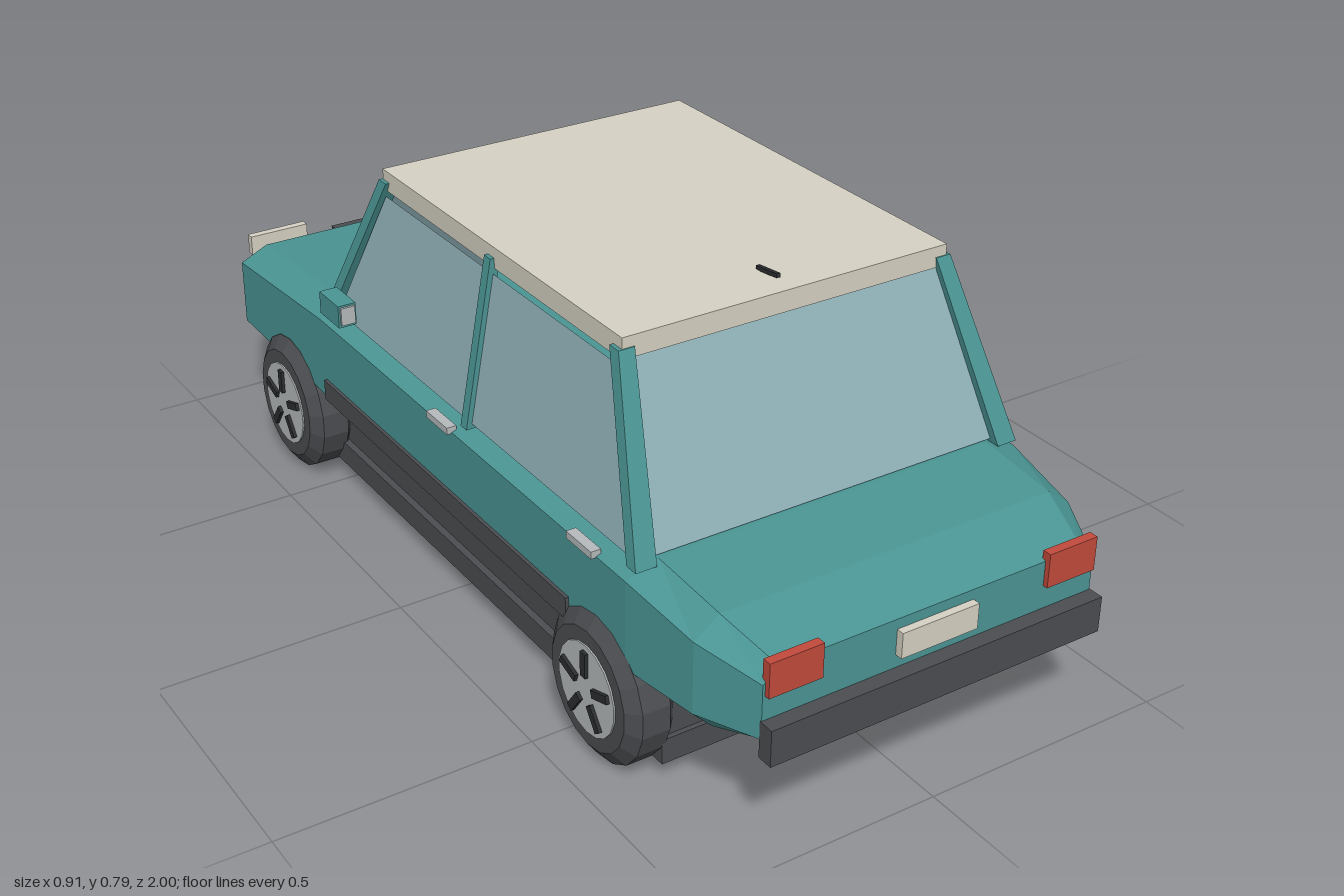
import * as THREE from 'three';

const mat = (name, color, extra = {}) => {
  const m = new THREE.MeshStandardMaterial({ color, ...extra });
  m.name = name;
  return m;
};

// Closed flat-sided solid through a list of rings of [x, y, z] points
function loft(rings) {
  const pos = [];
  const tri = (a, b, c) => pos.push(...a, ...b, ...c);
  const n = rings[0].length;
  for (let i = 0; i < rings.length - 1; i++) {
    for (let j = 0; j < n; j++) {
      const k = (j + 1) % n;
      const [a, b, c, d] = [rings[i][j], rings[i][k], rings[i + 1][k], rings[i + 1][j]];
      tri(a, b, c);
      tri(a, c, d);
    }
  }
  const first = rings[0], last = rings[rings.length - 1];
  for (let j = 1; j < n - 1; j++) {
    tri(first[0], first[j + 1], first[j]);
    tri(last[0], last[j], last[j + 1]);
  }
  return facets(pos);
}

function facets(pos) {
  const g = new THREE.BufferGeometry();
  g.setAttribute('position', new THREE.Float32BufferAttribute(pos, 3));
  g.computeVertexNormals();
  return g;
}

const quad = (a, b, c, d) => facets([...a, ...b, ...c, ...a, ...c, ...d]);

export function createModel() {
  const car = new THREE.Group();
  car.name = 'car';
  const teal = mat('teal paint', 0x4a9594);
  const cream = mat('cream', 0xd6d2c3);
  const glass = mat('glass', 0x8fb0b7, { side: THREE.DoubleSide });
  const rubber = mat('dark grey', 0x4b4d51);
  const black = mat('black', 0x2b2d30);
  const red = mat('red', 0xc24a3c);
  const silver = mat('silver', 0xb6babc);

  const add = (name, geometry, material, parent = car) => {
    const m = new THREE.Mesh(geometry, material);
    m.name = name;
    parent.add(m);
    return m;
  };
  // Box given by its limits on each axis
  const box = (name, material, [x0, x1], [y0, y1], [z0, z1], parent = car) => {
    const m = add(name, new THREE.BoxGeometry(x1 - x0, y1 - y0, z1 - z0), material, parent);
    m.position.set((x0 + x1) / 2, (y0 + y1) / 2, (z0 + z1) / 2);
    return m;
  };
  const span = (s, a, b) => (s > 0 ? [a, b] : [-b, -a]);

  // Body shell: z, bottom half width and y, side half width, lower and shoulder y, top half width and y
  const stations = [
    [-0.975, 0.31, 0.22, 0.35, 0.24, 0.33, 0.31, 0.352],
    [-0.87, 0.365, 0.19, 0.415, 0.235, 0.375, 0.355, 0.403],
    [-0.46, 0.37, 0.19, 0.42, 0.235, 0.408, 0.355, 0.432],
    [0.68, 0.37, 0.19, 0.42, 0.235, 0.408, 0.355, 0.432],
    [0.85, 0.36, 0.2, 0.40, 0.24, 0.38, 0.35, 0.417],
    [0.97, 0.31, 0.22, 0.35, 0.245, 0.35, 0.32, 0.377],
  ];
  add('body', loft(stations.map(([z, bw, by, w, ly, sy, tw, ty]) => [
    [bw, by, z], [w, ly, z], [w, sy, z], [tw, ty, z],
    [-tw, ty, z], [-w, sy, z], [-w, ly, z], [-bw, by, z],
  ])), teal);

  // Underbody
  box('chassis', rubber, [-0.355, 0.355], [0.08, 0.2], [-0.69, 0.71]);
  box('floorPan', rubber, [-0.37, 0.37], [0.04, 0.09], [-0.69, 0.72]);

  // Roof and aerial
  box('roof', cream, [-0.342, 0.342], [0.737, 0.778], [-0.30, 0.548]);
  box('aerial', black, [-0.004, 0.004], [0.78, 0.788], [0.45, 0.51]).rotation.x = -0.12;

  // Windscreens at both ends
  const yb = 0.435, yt = 0.738;
  add('rearWindow', quad([-0.37, yb, 0.675], [0.37, yb, 0.675], [0.322, yt, 0.545], [-0.322, yt, 0.545]), glass);
  add('windscreen', quad([0.37, yb, -0.445], [-0.37, yb, -0.445], [-0.322, yt, -0.298], [0.322, yt, -0.298]), glass);
  box('cowl', black, [-0.35, 0.35], [0.428, 0.438], [-0.465, -0.45]);

  // Slanted pillar between a foot and a head, each given by x and z limits
  const pillar = (name, s, foot, head) => {
    const ring = ([x0, x1, z0, z1], y) => {
      const [a, b] = span(s, x0, x1);
      return [[b, y, z1], [b, y, z0], [a, y, z0], [a, y, z1]];
    };
    add(name, loft([ring(foot, 0.428), ring(head, 0.757)]), teal);
  };

  for (const s of [1, -1]) {
    const side = s > 0 ? 'left' : 'right';
    pillar(side + 'RearPillar', s, [0.368, 0.41, 0.668, 0.696], [0.318, 0.35, 0.522, 0.55]);
    pillar(side + 'FrontPillar', s, [0.368, 0.41, -0.462, -0.434], [0.318, 0.35, -0.302, -0.274]);
    pillar(side + 'MiddlePillar', s, [0.385, 0.41, 0.107, 0.129], [0.33, 0.35, 0.107, 0.129]);
    add(side + 'SideGlass', quad(
      [s * 0.398, 0.438, 0.648], [s * 0.398, 0.438, -0.418],
      [s * 0.345, 0.727, -0.285], [s * 0.345, 0.727, 0.522]), glass);

    // Trim strip, door handles and mirror
    box(side + 'Trim', rubber, span(s, 0.41, 0.427), [0.233, 0.277], [-0.45, 0.5]);
    for (const z of [0.05, 0.55]) {
      box(side + 'Handle', silver, span(s, 0.41, 0.43), [0.406, 0.42], [z - 0.04, z + 0.04]);
    }
    box(side + 'Mirror', teal, span(s, 0.415, 0.453), [0.465, 0.512], [-0.385, -0.302]);
    box(side + 'MirrorGlass', silver, span(s, 0.419, 0.449), [0.471, 0.508], [-0.303, -0.297]);

    // Lamps
    box(side + 'TailLamp', red, span(s, 0.238, 0.345), [0.328, 0.395], [0.962, 0.98]);
    box(side + 'Headlamp', cream, span(s, 0.215, 0.35), [0.34, 0.384], [-0.982, -0.964]);
  }

  // Bumpers, plates and bonnet ornament
  box('rearBumper', rubber, [-0.352, 0.352], [0.21, 0.281], [0.968, 1]);
  box('frontBumper', rubber, [-0.352, 0.352], [0.21, 0.278], [-1, -0.97]);
  box('rearPlate', cream, [-0.081, 0.081], [0.307, 0.357], [0.965, 0.985]);
  box('grille', rubber, [-0.14, 0.14], [0.278, 0.35], [-0.995, -0.97]);
  add('ornament', loft([
    [[0.012, 0.355, -0.96], [0.012, 0.382, -0.96], [-0.012, 0.382, -0.96], [-0.012, 0.355, -0.96]],
    [[0.022, 0.37, -0.905], [0.022, 0.404, -0.905], [-0.022, 0.404, -0.905], [-0.022, 0.37, -0.905]],
  ]), silver);

  // Wheels: chamfered tyre, hub disc and five slots, axle along local y
  const tyreProfile = [[0, -0.048], [0.125, -0.048], [0.146, -0.03], [0.146, 0.026], [0.118, 0.046], [0, 0.046]]
    .map(([r, y]) => new THREE.Vector2(r, y));
  const tyre = new THREE.LatheGeometry(tyreProfile, 18).toNonIndexed();
  tyre.computeVertexNormals();
  const hub = new THREE.CylinderGeometry(0.09, 0.09, 0.01, 18);
  const slot = new THREE.BoxGeometry(0.016, 0.012, 0.05);
  for (const s of [1, -1]) {
    for (const z of [0.59, -0.63]) {
      const wheel = new THREE.Group();
      wheel.name = (s > 0 ? 'left' : 'right') + (z > 0 ? 'Rear' : 'Front') + 'Wheel';
      add('tyre', tyre, rubber, wheel);
      add('hub', hub, silver, wheel).position.y = 0.044;
      for (let i = 0; i < 5; i++) {
        const a = i * Math.PI * 2 / 5 + Math.PI / 2;
        const m = add('slot', slot, black, wheel);
        m.position.set(Math.cos(a) * 0.053, 0.05, -Math.sin(a) * 0.053);
        m.rotation.y = a + Math.PI / 2;
      }
      // Turn the outer face sideways and keep one slot at the top
      wheel.rotation.z = -s * Math.PI / 2;
      wheel.rotation.x = Math.PI / 2;
      wheel.position.set(s * 0.393, 0.146, z);
      car.add(wheel);
    }
  }
  return car;
}
